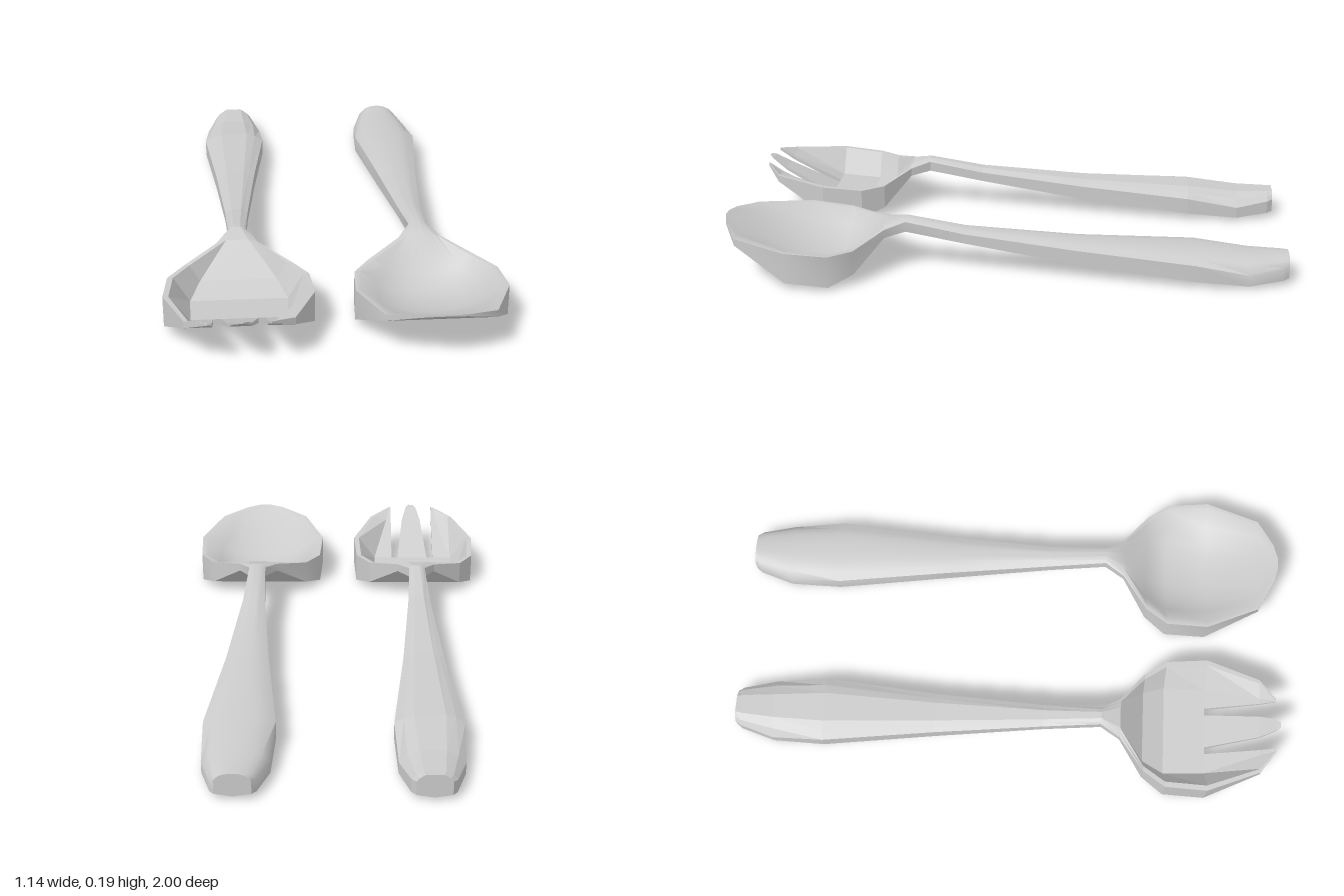
import * as THREE from 'three';
import { toCreasedNormals } from 'three/addons/utils/BufferGeometryUtils.js';

// Stations along z: [z, half width, bottom, edge height, inner half width, inner height, floor half width, floor height]
const HANDLE = [
  [-1, 0.06, 0.018, 0.078, 0.05, 0.09, 0.03, 0.103],
  [-0.98, 0.075, 0.015, 0.073, 0.06, 0.09, 0.035, 0.102],
  [-0.86, 0.112, 0.005, 0.056, 0.085, 0.085, 0.045, 0.102],
  [-0.67, 0.122, 0.02, 0.09, 0.09, 0.108, 0.055, 0.12],
  [-0.26, 0.076, 0.05, 0.112, 0.055, 0.122, 0.035, 0.13],
  [0.14, 0.042, 0.102, 0.147, 0.03, 0.153, 0.018, 0.16],
];
const BOWL = [
  [0.35, 0.032, 0.146, 0.183, 0.025, 0.189, 0.012, 0.195],
  [0.42, 0.075, 0.137, 0.167, 0.062, 0.171, 0.04, 0.178],
  [0.51, 0.19, 0.045, 0.132, 0.17, 0.132, 0.135, 0.07],
  [0.59, 0.245, 0.016, 0.13, 0.225, 0.13, 0.17, 0.038],
  [0.74, 0.255, 0.032, 0.143, 0.235, 0.143, 0.165, 0.052],
];
const FRONT = [
  [0.93, 0.18, 0.135, 0.16, 0.165, 0.16, 0.11, 0.147],
  [0.985, 0.075, 0.174, 0.181, 0.068, 0.181, 0.045, 0.178],
  [1, 0.02, 0.184, 0.187, 0.017, 0.187, 0.01, 0.186],
];

// Closed skin through sections { z, pts }, points counter-clockwise seen from +z
function loft(sections) {
  const n = sections[0].pts.length;
  const pos = [], index = [];
  for (const { z, pts } of sections) for (const [x, y] of pts) pos.push(x, y, z);
  for (let s = 0; s < sections.length - 1; s++) {
    for (let i = 0; i < n; i++) {
      const j = (i + 1) % n, a = s * n, b = a + n;
      index.push(a + i, a + j, b + j, a + i, b + j, b + i);
    }
  }
  const cap = (s) => THREE.ShapeUtils.triangulateShape(
    sections[s].pts.map(([x, y]) => new THREE.Vector2(x, y)), []);
  for (const [a, b, c] of cap(0)) index.push(a, c, b);
  const last = sections.length - 1;
  for (const [a, b, c] of cap(last)) index.push(last * n + a, last * n + b, last * n + c);
  const geo = new THREE.BufferGeometry();
  geo.setAttribute('position', new THREE.Float32BufferAttribute(pos, 3));
  geo.setIndex(index);
  geo.computeVertexNormals();
  return geo;
}

// Flat keel, upright walls and a hollow or domed top
function section([z, w, yb, ye, wi, yi, wf, yf], smooth) {
  const side = z < 0.2 ? yb + 0.01 : yb;
  const top = [];
  if (smooth) {
    for (let i = 4; i >= -4; i--) {
      const t = i / 4;
      top.push([wi * t, yf + (yi - yf) * Math.abs(t) ** 2.5]);
    }
  } else {
    top.push([wi, yi], [wf, yf], [-wf, yf], [-wi, yi]);
  }
  return { z, pts: [[-w, side], [0, yb], [w, side], [w, ye], ...top, [-w, ye]] };
}

function sideTine(side) {
  const inner = 0.09;
  const rows = [BOWL[4], FRONT[0], [0.985, 0.102, 0.174, 0.181, 0.099, 0.182, 0.095, 0.183]];
  return loft(rows.map(([z, w, yb, ye, wi, yi, wf, yf]) => {
    const pts = [[inner, yb], [w, yb], [w, ye], [wi, yi], [wf, yf], [inner, yf]];
    return { z, pts: side > 0 ? pts : pts.map(([x, y]) => [-x, y]).reverse() };
  }));
}

function middleTine() {
  const rows = [[0.74, 0.064, 0.032, 0.052], [0.93, 0.04, 0.135, 0.147],
    [0.985, 0.022, 0.174, 0.182], [1, 0.01, 0.184, 0.188]];
  return loft(rows.map(([z, w, yb, yt]) => ({ z, pts: [[-w, yb], [w, yb], [w, yt], [-w, yt]] })));
}

export function createModel() {
  const model = new THREE.Group();
  model.name = 'saladServers';
  const smoothMat = new THREE.MeshStandardMaterial({ color: 0xcccccc });
  const flatMat = new THREE.MeshStandardMaterial({ color: 0xcccccc, flatShading: true });
  const add = (parent, name, geo, mat) => {
    const mesh = new THREE.Mesh(geo, mat);
    mesh.name = name;
    parent.add(mesh);
  };

  // Spoon: one smooth body from handle end to bowl tip
  const spoon = new THREE.Group();
  spoon.name = 'spoon';
  spoon.position.x = 0.314;
  const spoonGeo = loft([...HANDLE, ...BOWL, ...FRONT].map((r) => section(r, true)));
  add(spoon, 'spoonBody', toCreasedNormals(spoonGeo, 0.85), smoothMat);

  // Fork: faceted body with three tines in front
  const fork = new THREE.Group();
  fork.name = 'fork';
  fork.position.x = -0.322;
  fork.scale.x = 0.973;
  add(fork, 'forkBody', loft([...HANDLE, ...BOWL].map((r) => section(r, false))), flatMat);
  add(fork, 'leftTine', sideTine(1), flatMat);
  add(fork, 'rightTine', sideTine(-1), flatMat);
  add(fork, 'middleTine', middleTine(), flatMat);

  model.add(spoon, fork);
  return model;
}
